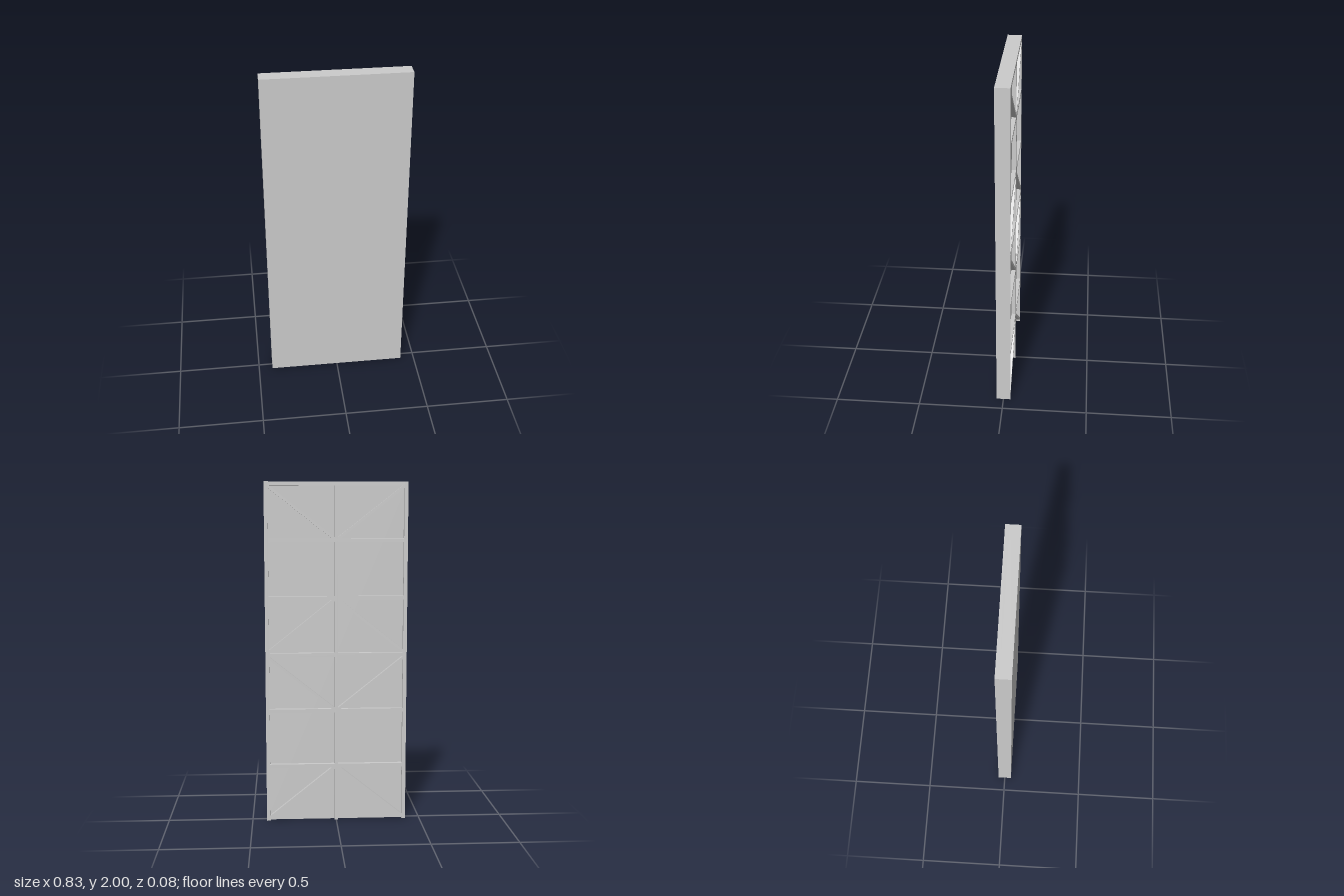
import * as THREE from 'three';

const W = 0.83, H = 2, D = 0.083;   // overall size
const RIB = 0.022, DEPTH = 0.025;   // rib width and height above the sheet
const BACK = -D / 2;

export function createModel() {
  const group = new THREE.Group();
  group.name = 'ribbedPanel';
  const material = new THREE.MeshStandardMaterial({ color: 0xcccccc, flatShading: true });

  const add = (name, geometry) => {
    const mesh = new THREE.Mesh(geometry, material);
    mesh.name = name;
    group.add(mesh);
    return mesh;
  };
  const box = (name, w, h, d, x, y, z) =>
    add(name, new THREE.BoxGeometry(w, h, d)).position.set(x, y, z);
  const rib = (name, w, h, x, y) => box(name, w, h, DEPTH, x, y, BACK + DEPTH / 2);

  // Solid front sheet
  box('frontSheet', W, H, D - DEPTH, 0, H / 2, DEPTH / 2);

  // Raised rim on the sides and top; the bottom stays open
  for (const s of [-1, 1]) rib('sideRail', RIB, H, s * (W - RIB) / 2, H / 2);
  const inner = W - 2 * RIB;
  rib('topRail', inner, RIB, 0, H - RIB / 2);

  // Centre upright and evenly spaced cross ribs
  rib('centreRib', RIB, H - RIB, 0, (H - RIB) / 2);
  for (let i = 1; i < 6; i++) rib('crossRib', inner, RIB, 0, H * i / 6);

  // Diagonal braces from the centre nodes to the side rails: [node y, rail y]
  const braces = [[H * 5 / 6, 1.975], [H * 4 / 6, 1.02], [H * 2 / 6, 0.98], [H / 6, 0.02]];
  const end = inner / 2;
  for (const [y0, y1] of braces) {
    const half = 0.008 * Math.hypot(end, y1 - y0) / end;
    for (const s of [-1, 1]) {
      const shape = new THREE.Shape([
        new THREE.Vector2(0, y0 - half),
        new THREE.Vector2(s * end, y1 - half),
        new THREE.Vector2(s * end, y1 + half),
        new THREE.Vector2(0, y0 + half),
      ]);
      const geometry = new THREE.ExtrudeGeometry(shape, { depth: DEPTH, bevelEnabled: false });
      add('diagonalBrace', geometry).position.z = BACK;
    }
  }
  return group;
}
